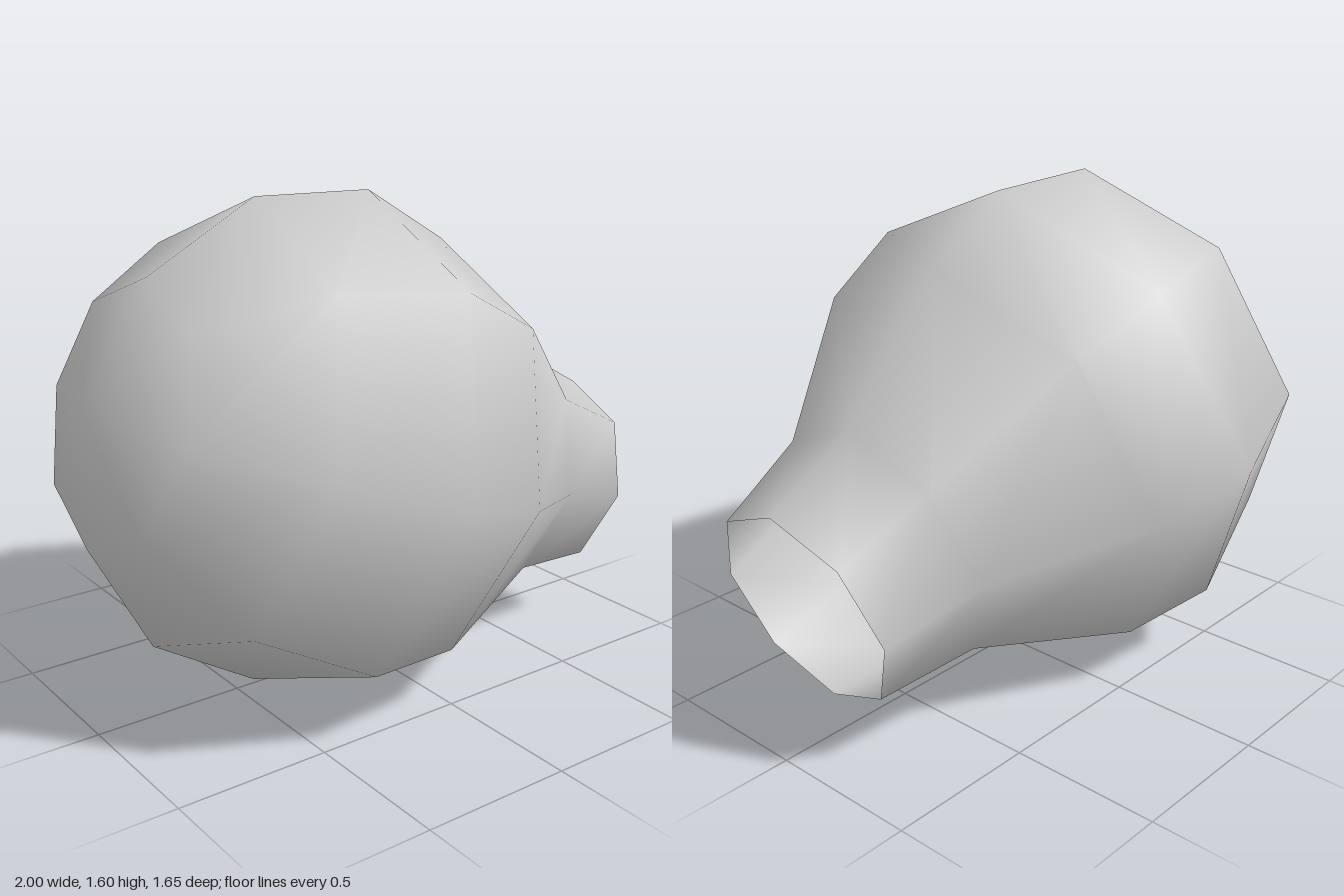
import * as THREE from 'three';
import { mergeVertices } from 'three/addons/utils/BufferGeometryUtils.js';

export function createModel() {
  const glass = new THREE.MeshStandardMaterial({ color: 0xcccccc, side: THREE.DoubleSide });
  glass.name = 'plain grey';

  // Bulb profile [radius, distance along axis], from the closed round end to the open neck
  const profile = [
    [0, -1.245], [0.41, -1.135], [0.712, -0.835], [0.824, -0.424],
    [0.736, -0.081], [0.427, 0.386], [0.348, 0.725],
  ].map(([r, a]) => new THREE.Vector2(r, a));

  // Eight-sided shell, welded so the shading runs smoothly over seam and pole
  let geometry = new THREE.LatheGeometry(profile, 8);
  geometry.deleteAttribute('uv');
  geometry.deleteAttribute('normal');
  geometry = mergeVertices(geometry, 1e-4);
  geometry.computeVertexNormals();

  // Lies on its side, neck towards +x and tipped down
  const bulb = new THREE.Mesh(geometry, glass);
  bulb.name = 'bulbShell';
  bulb.rotation.z = -THREE.MathUtils.degToRad(106.74);
  bulb.position.set(0.206, 0.687, 0);

  const model = new THREE.Group();
  model.name = 'bulb';
  model.add(bulb);
  return model;
}
